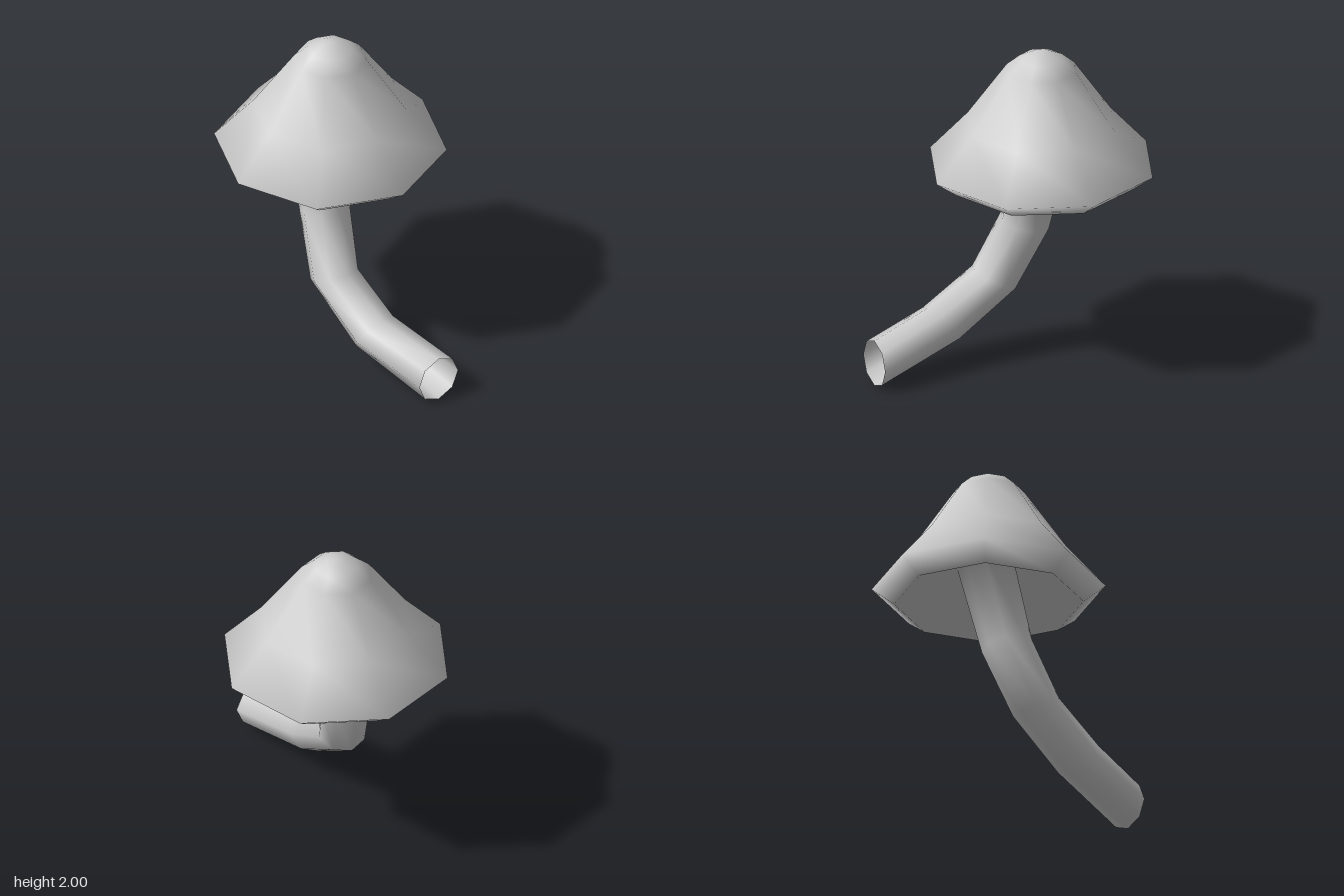
import * as THREE from 'three';
import { mergeVertices } from 'three/addons/utils/BufferGeometryUtils.js';

const SIDES = 8;
const v3 = (x, y, z) => new THREE.Vector3(x, y, z);

// Smooth skin over octagonal rings, each square to its own direction
function sweep(rings) {
  const positions = [], index = [];
  rings.forEach(({ at, along, radius }, i) => {
    const t = along.clone().normalize();
    const v = v3(0, 0, 1).addScaledVector(t, -t.z).normalize();
    const u = v.clone().cross(t);
    for (let j = 0; j < SIDES; j++) {
      const a = (j / SIDES) * Math.PI * 2;
      const p = at.clone()
        .addScaledVector(u, radius * Math.cos(a))
        .addScaledVector(v, radius * Math.sin(a));
      positions.push(p.x, p.y, p.z);
      if (i === rings.length - 1) continue;
      const k = (j + 1) % SIDES, r0 = i * SIDES, r1 = r0 + SIDES;
      index.push(r0 + j, r0 + k, r1 + j, r0 + k, r1 + k, r1 + j);
    }
  });
  let geometry = new THREE.BufferGeometry();
  geometry.setAttribute('position', new THREE.Float32BufferAttribute(positions, 3));
  geometry.setIndex(index);
  geometry = mergeVertices(geometry);
  geometry.computeVertexNormals();
  return geometry;
}

export function createModel() {
  const model = new THREE.Group();
  const material = new THREE.MeshStandardMaterial({ color: 0xcccccc, side: THREE.DoubleSide });

  // Bell cap from crown to turned-in rim, as radius and height
  const capRings = [
    [0, 2], [0.06, 1.991], [0.138, 1.956], [0.22, 1.885],
    [0.467, 1.53], [0.705, 1.263], [0.57, 1.161],
  ].map(([radius, y]) => ({ at: v3(-0.2, y, 0), along: v3(0, -1, 0), radius }));

  // Curved hollow stem, from the hollow of the cap to its open foot
  const stemRings = [
    { at: v3(-0.205, 1.43, -0.025), along: v3(0.12, -0.97, 0.2), radius: 0.172 },
    { at: v3(-0.138, 0.86, 0.095), along: v3(0.19, -0.97, 0.16), radius: 0.156 },
    { at: v3(0.04, 0.49, 0.16), along: v3(0.45, -0.89, 0.05), radius: 0.15 },
    { at: v3(0.405, 0.268, 0.14), along: v3(0.8, -0.58, -0.13), radius: 0.147 },
    { at: v3(0.905, 0.147, 0.04), along: v3(1, 0, 0), radius: 0.147 },
  ];

  // One continuous skin, so shading flows from underside to stem, split by part
  const skin = sweep([...capRings, ...stemRings]);
  const addPart = (name, firstBand, lastBand) => {
    const geometry = skin.clone();
    const corners = Array.from(skin.index.array);
    geometry.setIndex(corners.slice(firstBand * SIDES * 6, lastBand * SIDES * 6));
    const mesh = new THREE.Mesh(geometry, material);
    mesh.name = name;
    model.add(mesh);
  };
  const rim = capRings.length - 1;
  addPart('capTop', 0, rim);
  addPart('capUnderside', rim, rim + 1);
  addPart('stem', rim + 1, rim + stemRings.length);

  return model;
}
